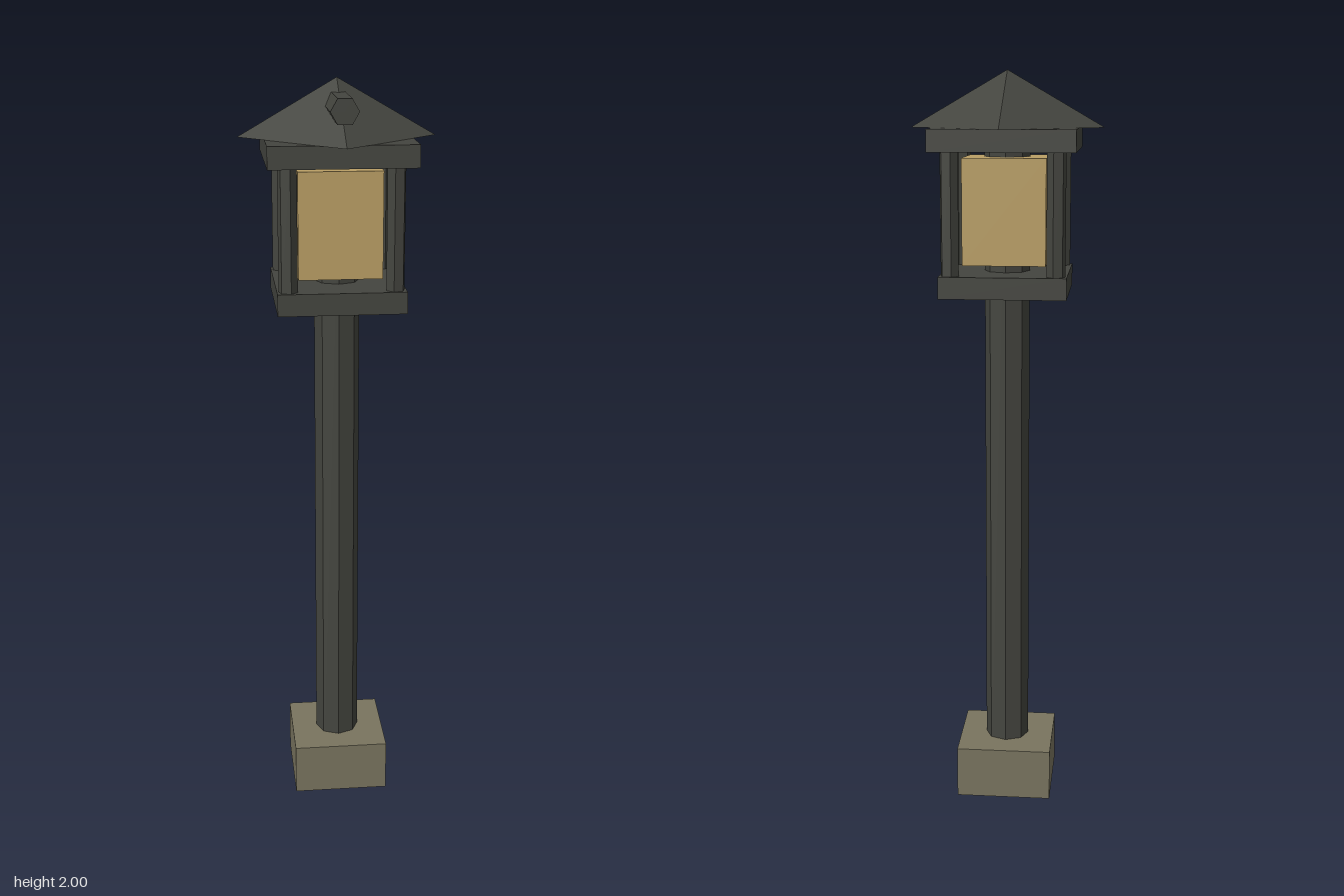
import * as THREE from 'three';

export function createModel() {
  const mat = (name, color) => {
    const m = new THREE.MeshStandardMaterial({ color, flatShading: true });
    m.name = name;
    return m;
  };
  const iron = mat('dark iron', 0x44453f);
  const stone = mat('base stone', 0x79745f);
  const glow = mat('amber glass', 0xba9f65);

  const model = new THREE.Group();
  model.name = 'lampPost';
  // everything except the roof stands corner-on to the front
  const body = new THREE.Group();
  body.name = 'body';
  body.rotation.y = Math.PI / 4;
  model.add(body);

  const add = (parent, name, geometry, material, x, y, z) => {
    const mesh = new THREE.Mesh(geometry, material);
    mesh.name = name;
    mesh.position.set(x, y, z);
    parent.add(mesh);
    return mesh;
  };
  // square slab between two heights
  const slab = (name, side, y0, y1, material) =>
    add(body, name, new THREE.BoxGeometry(side, y1 - y0, side), material, 0, (y0 + y1) / 2, 0);

  slab('footing', 0.26, 0.005, 0.147, stone);
  slab('lanternFloor', 0.332, 1.425, 1.482, iron);
  slab('lanternGlass', 0.218, 1.505, 1.78, glow);
  slab('lanternTop', 0.377, 1.797, 1.854, iron);

  // octagonal pole, running up through the lantern
  add(body, 'pole', new THREE.CylinderGeometry(0.06, 0.06, 1.82, 8), iron, 0, 0.91, 0);

  // four hexagonal corner posts, one edge pointing outward
  for (let i = 0; i < 4; i++) {
    const a = (i * Math.PI) / 2;
    const post = add(model, 'cornerPost', new THREE.CylinderGeometry(0.025, 0.025, 0.33, 6), iron,
      0.194 * Math.sin(a), 1.64, 0.194 * Math.cos(a));
    post.rotation.y = a;
  }

  // four-sided pyramid roof, square to the front
  const roof = new THREE.ConeGeometry(0.2546, 0.146, 4);
  roof.rotateY(Math.PI / 4);
  add(model, 'roof', roof, iron, 0, 1.927, 0);

  // hexagonal stub sticking out level from one roof corner
  const stub = new THREE.CylinderGeometry(0.036, 0.036, 0.18, 6);
  stub.rotateY(Math.PI / 2);
  stub.rotateX(Math.PI / 2);
  stub.translate(0, 0, 0.117);
  add(model, 'roofStub', stub, iron, 0, 1.936, 0).rotation.y = Math.PI / 4;

  return model;
}
